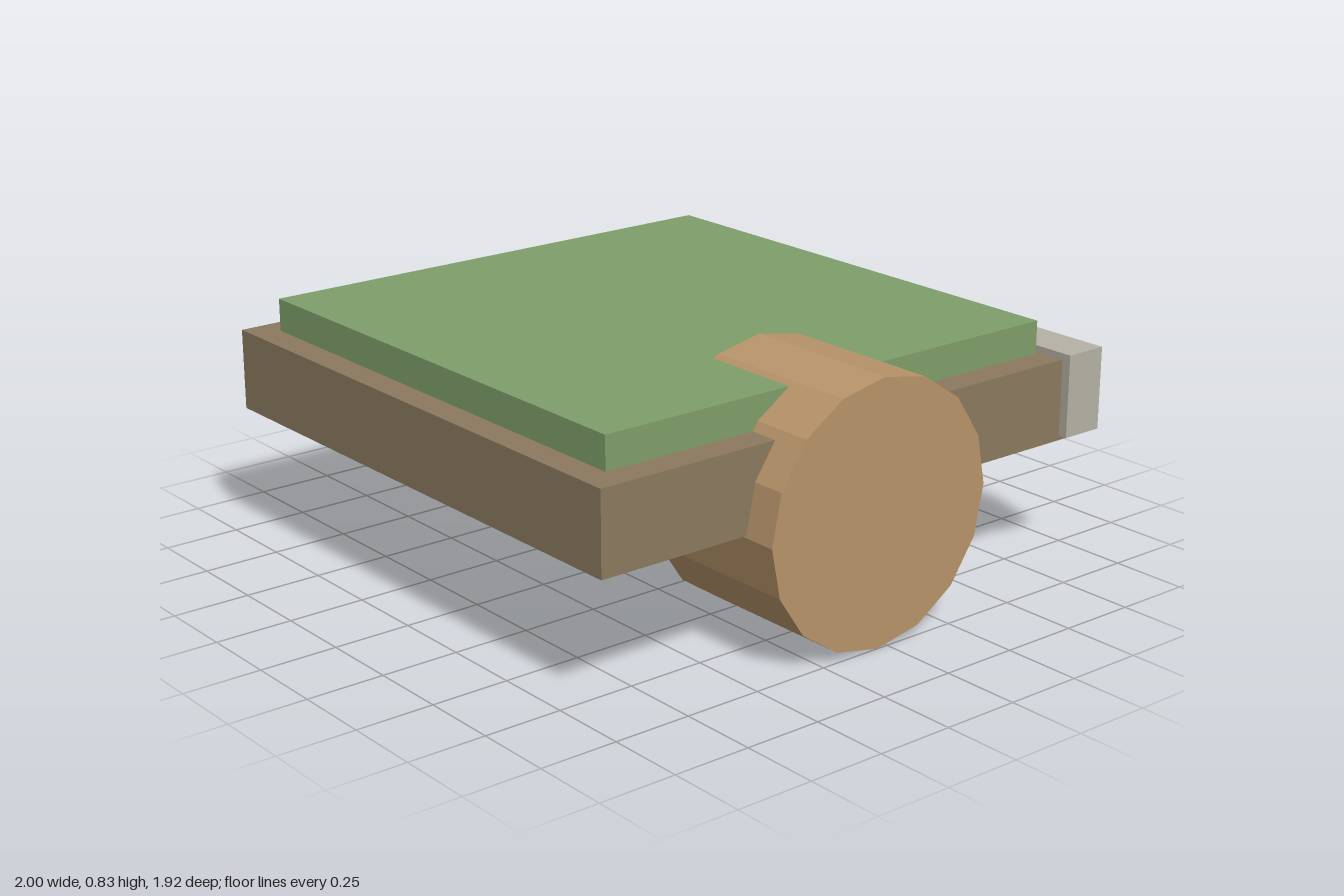
import * as THREE from 'three';

const material = (color) => new THREE.MeshStandardMaterial({ color, flatShading: true });

// Box given by its [min, max] extent along each axis
function slab(name, color, x, y, z) {
  const geometry = new THREE.BoxGeometry(x[1] - x[0], y[1] - y[0], z[1] - z[0]);
  const mesh = new THREE.Mesh(geometry, material(color));
  mesh.name = name;
  mesh.position.set((x[0] + x[1]) / 2, (y[0] + y[1]) / 2, (z[0] + z[1]) / 2);
  return mesh;
}

export function createModel() {
  const group = new THREE.Group();
  group.name = 'platform';

  // Earth-brown base, raised green top and pale rear beam
  group.add(
    slab('base', 0x8b795e, [-0.96, 0.89], [0.42, 0.68], [-0.89, 0.96]),
    slab('greenTop', 0x7f9f6a, [-0.875, 0.795], [0.67, 0.785], [-0.8, 0.87]),
    slab('rearBeam', 0xb5b1a5, [-1, 0.92], [0.435, 0.7], [-0.96, -0.817])
  );

  // Sixteen-sided drum lying along x, set into the left edge
  const drumGeometry = new THREE.CylinderGeometry(0.414, 0.414, 0.535, 16);
  drumGeometry.rotateZ(-Math.PI / 2);
  const drum = new THREE.Mesh(drumGeometry, material(0xb8946a));
  drum.name = 'drum';
  drum.position.set(0.7325, 0.414, 0.038);
  group.add(drum);

  return group;
}
